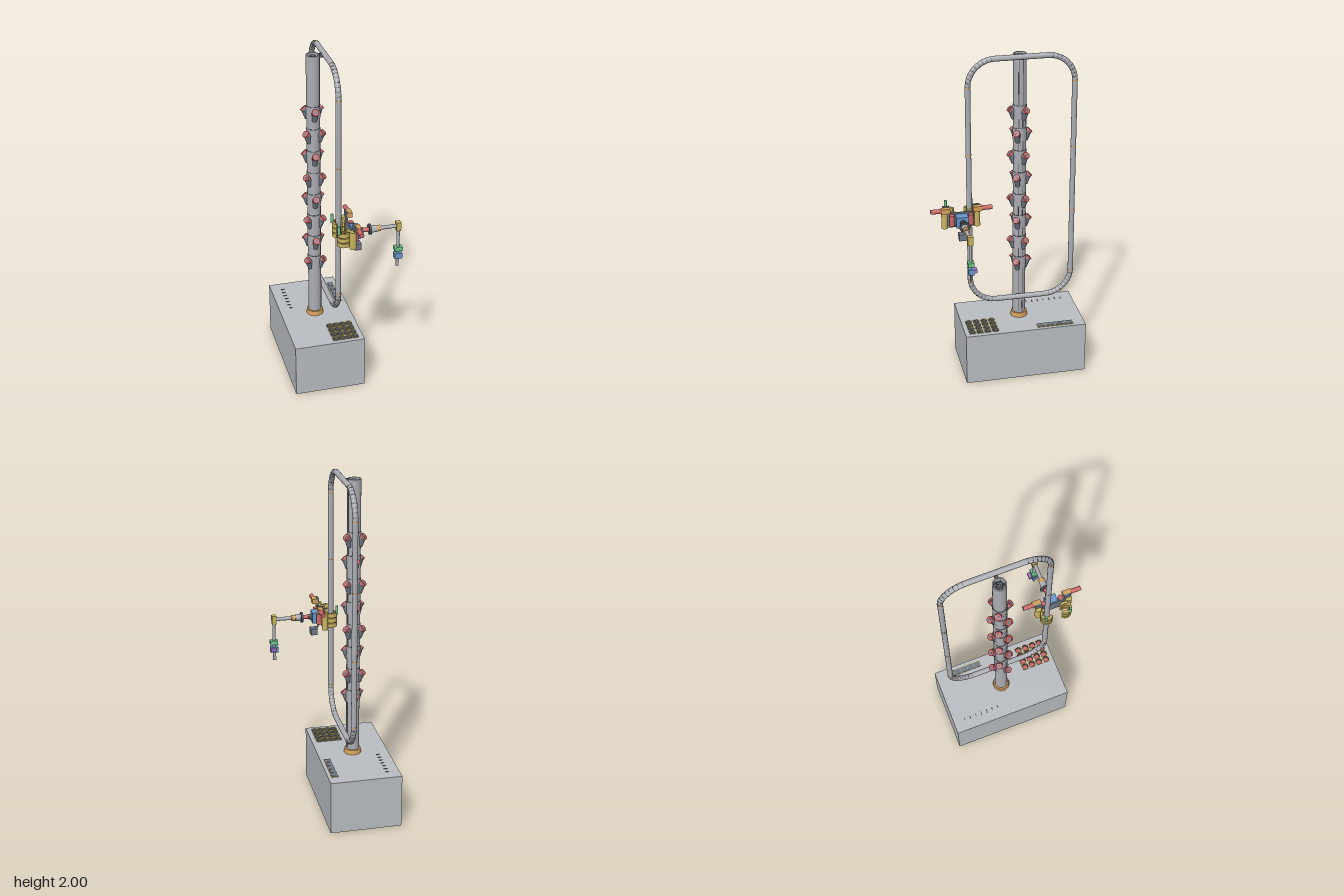
import * as THREE from 'three';

const mat = (name, color) => {
  const m = new THREE.MeshStandardMaterial({ color, side: THREE.DoubleSide });
  m.name = name;
  return m;
};

export function createModel() {
  const M = {
    shell: mat('shell grey', 0xb9bdc1), tube: mat('tube grey', 0xacadb3), slate: mat('slate', 0x707a88),
    red: mat('red', 0xcc6666), blue: mat('blue', 0x6699cc), gold: mat('gold', 0xc9b45f),
    orange: mat('orange', 0xd6a05c), green: mat('green', 0x70c890), purple: mat('purple', 0xab78d0),
    dark: mat('dark grey', 0x55585c),
  };
  const root = new THREE.Group();
  root.name = 'verticalFarm';

  const add = (parent, name, geo, material) => {
    const m = new THREE.Mesh(geo, material);
    m.name = name;
    parent.add(m);
    return m;
  };
  const group = (name) => {
    const g = new THREE.Group();
    g.name = name;
    root.add(g);
    return g;
  };
  // Box from its extents
  const box = (p, name, m, x0, x1, y0, y1, z0, z1) => {
    const b = add(p, name, new THREE.BoxGeometry(x1 - x0, y1 - y0, z1 - z0), m);
    b.position.set((x0 + x1) / 2, (y0 + y1) / 2, (z0 + z1) / 2);
    return b;
  };
  // Cylinder between two points
  const rod = (p, name, m, a, b, r, r2 = r, open = false) => {
    const A = new THREE.Vector3(...a), B = new THREE.Vector3(...b), d = B.clone().sub(A);
    const c = add(p, name, new THREE.CylinderGeometry(r2, r, d.length(), 24, 1, open), m);
    c.position.copy(A).add(B).multiplyScalar(0.5);
    c.quaternion.setFromUnitVectors(new THREE.Vector3(0, 1, 0), d.normalize());
    return c;
  };
  // Horizontal plate with round holes
  const holedPlate = (p, name, m, [x0, x1, z0, z1], y, h, holes, r) => {
    const s = new THREE.Shape([[x0, -z1], [x1, -z1], [x1, -z0], [x0, -z0]].map((q) => new THREE.Vector2(...q)));
    for (const [x, z] of holes) s.holes.push(new THREE.Path().absarc(x, -z, r, 0, Math.PI * 2, true));
    const geo = new THREE.ExtrudeGeometry(s, { depth: h, bevelEnabled: false, curveSegments: 10 });
    geo.rotateX(-Math.PI / 2);
    add(p, name, geo, m).position.y = y;
  };

  // Base cabinet with seed wells
  const base = group('base');
  const wells = [];
  for (const x of [-0.063, -0.025, 0.016, 0.054])
    for (const z of [0.09, 0.137, 0.184, 0.231]) wells.push([x, z]);
  box(base, 'cabinet', M.shell, -0.317, 0.102, 0, 0.295, -0.458, 0.276);
  holedPlate(base, 'cabinetTop', M.shell, [-0.317, 0.102, -0.458, 0.276], 0.295, 0.027, wells, 0.0184);
  for (const [x, z] of wells) {
    holedPlate(base, 'wellRim', M.gold, [x - 0.0188, x + 0.0188, z - 0.019, z + 0.019], 0.322, 0.004, [[x, z]], 0.0182);
    rod(base, 'wellWall', M.dark, [x, 0.296, z], [x, 0.324, z], 0.0181, 0.0181, true);
    rod(base, 'wellFloor', M.red, [x, 0.296, z], [x, 0.3, z], 0.018);
  }
  // Tray row and narrow slots
  box(base, 'trayFrame', M.gold, 0.042, 0.081, 0.322, 0.326, -0.386, -0.165);
  for (let i = 0; i < 5; i++) {
    const z = -0.384 + i * 0.0438;
    box(base, 'tray', M.slate, 0.044, 0.077, 0.323, 0.328, z, z + 0.041);
  }
  for (let i = 0; i < 7; i++) {
    const z = -0.386 + i * 0.0367;
    box(base, 'slot', M.dark, -0.256, -0.235, 0.32, 0.325, z - 0.002, z + 0.002);
  }

  // Hollow column
  const CX = -0.11, CZ = -0.09;
  const column = group('column');
  rod(column, 'collar', M.orange, [CX, 0.322, CZ], [CX, 0.35, CZ], 0.051, 0.047);
  const wall = [[0.031, 0.34], [0.038, 0.34], [0.038, 1.985], [0.031, 1.985], [0.031, 0.34]];
  for (let i = 0; i < 4; i++) {
    const pts = [wall[i], wall[i + 1]].map((q) => new THREE.Vector2(...q));
    add(column, 'columnWall', new THREE.LatheGeometry(pts, 32), M.tube).position.set(CX, 0, CZ);
  }
  const core = add(column, 'hexCore', new THREE.CylinderGeometry(0.017, 0.017, 1.63, 6, 1, true), M.slate);
  core.position.set(CX, 1.165, CZ);
  for (let i = 0; i < 6; i++) {
    const a = i * Math.PI / 3, s = Math.sin(a), c = Math.cos(a);
    rod(column, 'coreSpoke', M.slate, [CX + 0.015 * s, 1.96, CZ + 0.015 * c], [CX + 0.033 * s, 1.96, CZ + 0.033 * c], 0.003);
  }
  rod(column, 'columnFloor', M.dark, [CX, 1.94, CZ], [CX, 1.945, CZ], 0.031);
  for (const dz of [-0.012, 0.012])
    box(column, 'seam', M.dark, CX + 0.033, CX + 0.0375, 0.36, 1.98, CZ + dz - 0.002, CZ + dz + 0.002);
  box(column, 'topBracket', M.dark, -0.078, -0.05, 1.965, 1.987, CZ - 0.009, CZ + 0.009);

  // Planting sleeves, three tilted pods per level, alternating by 60 degrees
  const pods = group('pods');
  for (let i = 0; i < 8; i++) {
    const y = 1.655 - i * 0.1365;
    rod(pods, 'sleeve', M.tube, [CX, y - 0.045, CZ], [CX, y + 0.03, CZ], 0.0405);
    rod(pods, 'sleeveJoint', M.dark, [CX, y + 0.03, CZ], [CX, y + 0.033, CZ], 0.0395);
    for (let k = 0; k < 3; k++) {
      const a = (i % 2) * Math.PI / 3 + k * Math.PI * 2 / 3, s = Math.sin(a), c = Math.cos(a);
      const at = (r, h) => [CX + r * s, y + h, CZ + r * c];
      rod(pods, 'podBody', M.slate, at(0.034, -0.052), at(0.047, -0.008), 0.014, 0.018);
      rod(pods, 'podNeck', M.slate, at(0.03, -0.015), at(0.056, 0.006), 0.018);
      rod(pods, 'podRim', M.red, at(0.052, 0.001), at(0.061, 0.01), 0.02);
      rod(pods, 'podMouth', M.slate, at(0.06, 0.009), at(0.0615, 0.0105), 0.009);
    }
  }

  // Rounded loop track
  const track = group('loopTrack');
  const X = -0.045, Z0 = -0.392, Z1 = 0.22, Y0 = 0.48, Y1 = 1.984, R = 0.155;
  const v = (z, y) => new THREE.Vector3(X, y, z);
  const path = new THREE.CurvePath();
  const corners = [[Z1 - R, Y1 - R, 0], [Z0 + R, Y1 - R, 1], [Z0 + R, Y0 + R, 2], [Z1 - R, Y0 + R, 3]];
  const arc = ([z, y, q], t, r = R) => {
    const a = (q + t) * Math.PI / 2;
    return v(z + r * Math.cos(a), y + r * Math.sin(a));
  };
  corners.forEach((c, i) => {
    const pts = [];
    for (let j = 0; j <= 10; j++) pts.push(arc(c, j / 10));
    for (let j = 0; j < 10; j++) path.add(new THREE.LineCurve3(pts[j], pts[j + 1]));
    path.add(new THREE.LineCurve3(pts[10], arc(corners[(i + 1) % 4], 0)));
    // Corner segment rings
    for (let j = 1; j < 10; j++) {
      const p = arc(c, j / 10), q = arc(c, j / 10 + 0.01);
      rod(track, 'segmentRing', M.dark, p.toArray(), q.toArray(), 0.0163);
    }
  });
  add(track, 'trackTube', new THREE.TubeGeometry(path, 260, 0.0158, 16, true), M.tube);
  for (const z of [Z0, Z1])
    for (const y of [0.63, 1.03, 1.43, 1.83])
      rod(track, 'trackJoint', M.orange, [X, y - 0.003, z], [X, y + 0.003, z], 0.0168);

  // Climbing carriage, mirrored about its centre plane
  const carriage = group('carriage');
  const C = 0.278;
  box(carriage, 'backPlate', M.slate, 0.001, 0.009, 1.01, 1.1, 0.17, 0.386);
  box(carriage, 'driveBox', M.blue, 0.009, 0.06, 1.025, 1.09, 0.243, 0.313);
  for (const s of [-1, 1]) {
    const z = (d) => C + s * d;
    const span = (a, b) => [Math.min(z(a), z(b)), Math.max(z(a), z(b))];
    rod(carriage, 'uprightMotor', M.red, [0.025, 1.028, z(0.055)], [0.025, 1.092, z(0.055)], 0.0155);
    box(carriage, 'gearHousing', M.orange, 0.01, 0.04, 1.11, 1.14, ...span(0.067, 0.118));
    box(carriage, 'plateEar', M.slate, 0.001, 0.012, 1.09, 1.145, ...span(0.068, 0.108));
    rod(carriage, 'sideMotor', M.red, [0.025, 1.125, z(0.115)], [0.025, 1.125, z(0.178)], 0.0135);
    rod(carriage, 'hinge', M.gold, [-0.002, 1.005, z(0.094)], [-0.002, 1.11, z(0.094)], 0.019);
    rod(carriage, 'triggerPost', M.green, [-0.078, 1.09, z(0.075)], [-0.078, 1.142, z(0.075)], 0.008);
    // Stacked claw hooks, open towards the centre
    const claw = new THREE.Shape();
    const a0 = s > 0 ? -0.72 : 0.72, a1 = s > 0 ? Math.PI + 1 : -Math.PI - 1;
    claw.absarc(0, 0, 0.037, a0, a1, s < 0);
    claw.absarc(0, 0, 0.022, a1, a0, s > 0);
    for (let i = 0; i < 3; i++) {
      const geo = new THREE.ExtrudeGeometry(claw, { depth: 0.024, bevelEnabled: false, curveSegments: 20 });
      geo.rotateX(Math.PI / 2);
      add(carriage, 'claw', geo, M.gold).position.set(X, 1.037 + i * 0.031, z(0.058));
    }
    for (let i = 0; i < 3; i++)
      rod(carriage, 'clawRoller', M.dark, [X - 0.022 + i * 0.022, 1.01, z(0.08 + (i % 2) * 0.006)],
        [X - 0.022 + i * 0.022, 1.102, z(0.08 + (i % 2) * 0.006)], 0.004);
  }
  // Camera under the carriage
  rod(carriage, 'cameraLink', M.slate, [0.01, 1.015, C], [0.035, 0.975, C], 0.006);
  box(carriage, 'camera', M.slate, 0.028, 0.068, 0.945, 0.985, C - 0.022, C + 0.022);

  // Arm along +x, then hanging tool
  const arm = group('arm');
  const AZ = 0.277, AY = 1.058;
  const spans = [
    ['shoulderShaft', M.dark, 0.06, 0.08, 0.017], ['armMotor', M.red, 0.08, 0.115, 0.013],
    ['flange', M.dark, 0.115, 0.127, 0.031], ['armSleeve', M.tube, 0.127, 0.16, 0.02],
    ['armCoupling', M.orange, 0.16, 0.183, 0.018], ['forearm', M.tube, 0.183, 0.277, 0.011],
  ];
  for (const [n, m, a, b, r] of spans) rod(arm, n, m, [a, AY, AZ], [b, AY, AZ], r);
  box(arm, 'elbow', M.gold, 0.275, 0.302, 1.03, 1.082, AZ - 0.016, AZ + 0.016);
  rod(arm, 'dropRod', M.tube, [0.29, 0.92, AZ], [0.29, 1.035, AZ], 0.009);
  box(arm, 'wristBlock', M.green, 0.268, 0.314, 0.9, 0.925, AZ - 0.018, AZ + 0.018);
  rod(arm, 'wristPin', M.tube, [0.29, 0.88, AZ], [0.29, 0.905, AZ], 0.008);
  box(arm, 'toolBlock', M.blue, 0.268, 0.313, 0.85, 0.884, AZ - 0.016, AZ + 0.016);
  box(arm, 'toolSensor', M.purple, 0.278, 0.314, 0.862, 0.882, 0.244, 0.261);
  box(arm, 'blade', M.tube, 0.279, 0.297, 0.797, 0.852, AZ - 0.003, AZ + 0.003);

  return root;
}
